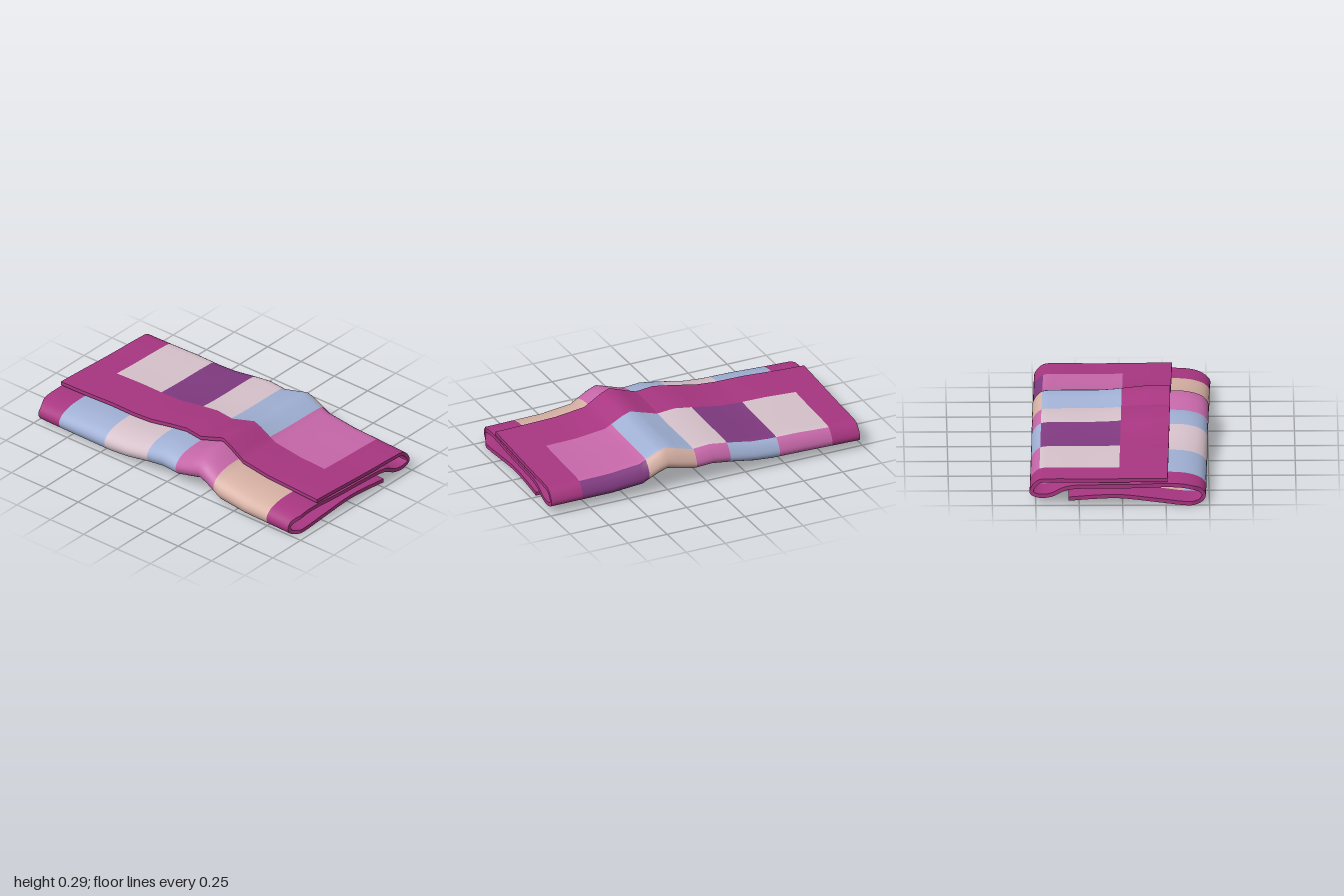
import * as THREE from 'three';

const mat = (name, color) => {
  const m = new THREE.MeshStandardMaterial({ color });
  m.name = name;
  return m;
};

// Z-shaped fold seen from the side: [z, y] from the free top edge to the free bottom edge
const PROFILE = [
  [0.28, 0.145], [0.14, 0.143], [0, 0.14], [-0.2, 0.137], [-0.38, 0.136], [-0.455, 0.13],
  [-0.49, 0.1], [-0.502, 0.065], [-0.46, 0.046], [-0.39, 0.052], [-0.3, 0.092], [-0.1, 0.104],
  [0.1, 0.107], [0.3, 0.115], [0.4, 0.107], [0.465, 0.085], [0.49, 0.055], [0.475, 0.025],
  [0.43, 0.012], [0.37, 0.012], [0.2, 0.03], [0, 0.048], [-0.15, 0.042], [-0.29, 0.03],
];
const ROW_START = [2, 5, 12, 19, 21];                        // profile points where patch rows begin and end
const COLUMN_EDGE = [-0.8, -0.46, -0.14, 0.075, 0.37, 0.785]; // x where patch columns begin and end

// Colours: 0 magenta, 1 cream, 2 purple, 3 blue, 4 pink, 5 tan
const PATCHES = [
  [1, 2, 1, 3, 4],
  [4, 3, 4, 5, 2],
  [3, 1, 3, 4, 5],
  [5, 4, 5, 2, 1],
];

// Wrinkle height across x, for the lowest and the highest layer: [x, low, high]
const WRINKLE = [
  [-1.2, 0, 0], [-0.8, 0, 0.014], [-0.6, 0, 0.025], [-0.42, 0.002, 0.026], [-0.3, 0.015, 0.035],
  [-0.15, 0.045, 0.065], [-0.03, 0.062, 0.085], [0.08, 0.056, 0.074], [0.18, 0.08, 0.108],
  [0.25, 0.098, 0.132], [0.3, 0.08, 0.112], [0.41, 0.018, 0.045], [0.6, 0, 0.02], [1.2, 0, 0],
];
const HALF_THICKNESS = 0.011;
const STEPS = 4; // samples between profile points

function lift(x, y, z) {
  let k = 0;
  while (k < WRINKLE.length - 2 && x > WRINKLE[k + 1][0]) k++;
  const [x0, low0, high0] = WRINKLE[k], [x1, low1, high1] = WRINKLE[k + 1];
  const f = (x - x0) / (x1 - x0);
  const low = THREE.MathUtils.lerp(low0, low1, f);
  const high = THREE.MathUtils.lerp(high0, high1, f);
  const fade = 1 - 0.18 * THREE.MathUtils.smoothstep(-z, -0.2, 0.15); // flatter towards the back
  return THREE.MathUtils.lerp(low, high, THREE.MathUtils.clamp(y / 0.14, 0, 1)) * fade;
}

// Bend a flat cloth point into its final, slightly skewed place
function place(x, y, z) {
  const w = 0.979 - 0.025 * THREE.MathUtils.smoothstep(z, 0.41, 0.49);
  const px = Math.abs(x) > 0.9 ? x * w : x;
  return [px - 0.01 - 0.04 * z * Math.abs(x), y + lift(px, y, z), z + 0.022 * x];
}

export function createModel() {
  const group = new THREE.Group();
  group.name = 'foldedBlanket';
  const materials = [
    mat('magenta border', 0xa83681), mat('cream patch', 0xd6c1ca), mat('purple patch', 0x803a80),
    mat('blue patch', 0xa0b0d4), mat('pink patch', 0xc667a9), mat('tan patch', 0xd5afa3),
  ];

  // Sample the fold; the sample at k * STEPS is profile point k
  const curve = new THREE.CatmullRomCurve3(PROFILE.map(([z, y]) => new THREE.Vector3(0, y, z)));
  const rows = (PROFILE.length - 1) * STEPS;
  const fold = [];
  for (let j = 0; j <= rows; j++) {
    const p = curve.getPoint(j / rows), t = curve.getTangent(j / rows);
    fold.push({ z: p.z, y: p.y, nz: t.y, ny: -t.z });
  }

  // Columns fall on patch edges and wrinkle creases
  const xs = [...new Set([
    -1, -0.9, 0.7, 0.9, 1, ...COLUMN_EDGE, ...WRINKLE.slice(1, -1).map((w) => w[0]),
  ])].sort((a, b) => a - b);
  const cols = xs.length - 1;

  // Both faces of the cloth
  const positions = [];
  for (const side of [1, -1]) {
    for (const f of fold) {
      for (const x of xs) {
        const d = side * HALF_THICKNESS;
        positions.push(...place(x, f.y + f.ny * d, f.z + f.nz * d));
      }
    }
  }
  const layer = (rows + 1) * (cols + 1);
  const id = (i, j) => j * (cols + 1) + i;
  const faces = materials.map(() => []);
  for (let j = 0; j < rows; j++) {
    const row = ROW_START.filter((k) => j >= k * STEPS).length - 1;
    for (let i = 0; i < cols; i++) {
      const mid = (xs[i] + xs[i + 1]) / 2;
      const column = COLUMN_EDGE.filter((e) => mid > e).length - 1;
      const color = PATCHES[row]?.[column] ?? 0;
      const a = id(i, j), b = id(i + 1, j), c = id(i + 1, j + 1), d = id(i, j + 1);
      faces[color].push(a, b, c, a, c, d);
      faces[color].push(a + layer, c + layer, b + layer, a + layer, d + layer, c + layer);
    }
  }
  const cloth = new THREE.BufferGeometry();
  cloth.setAttribute('position', new THREE.Float32BufferAttribute(positions, 3));
  let start = 0;
  faces.forEach((list, m) => {
    cloth.addGroup(start, list.length, m);
    start += list.length;
  });
  cloth.setIndex(faces.flat());
  cloth.computeVertexNormals();
  const clothMesh = new THREE.Mesh(cloth, materials);
  clothMesh.name = 'patchworkCloth';
  group.add(clothMesh);

  // Hem closing the four cut edges
  const loop = [];
  for (let i = 0; i < cols; i++) loop.push(id(i, 0));
  for (let j = 0; j < rows; j++) loop.push(id(cols, j));
  for (let i = cols; i > 0; i--) loop.push(id(i, rows));
  for (let j = rows; j > 0; j--) loop.push(id(0, j));
  const hemPoints = [];
  const hemIndex = [];
  const point = (v) => positions.slice(v * 3, v * 3 + 3);
  loop.forEach((v, k) => {
    const n = loop[(k + 1) % loop.length];
    hemPoints.push(...point(v + layer), ...point(n + layer), ...point(n), ...point(v));
    const o = k * 4;
    hemIndex.push(o, o + 1, o + 2, o, o + 2, o + 3);
  });
  const hem = new THREE.BufferGeometry();
  hem.setAttribute('position', new THREE.Float32BufferAttribute(hemPoints, 3));
  hem.setIndex(hemIndex);
  hem.computeVertexNormals();
  const hemMesh = new THREE.Mesh(hem, materials[0]);
  hemMesh.name = 'hem';
  group.add(hemMesh);

  return group;
}
